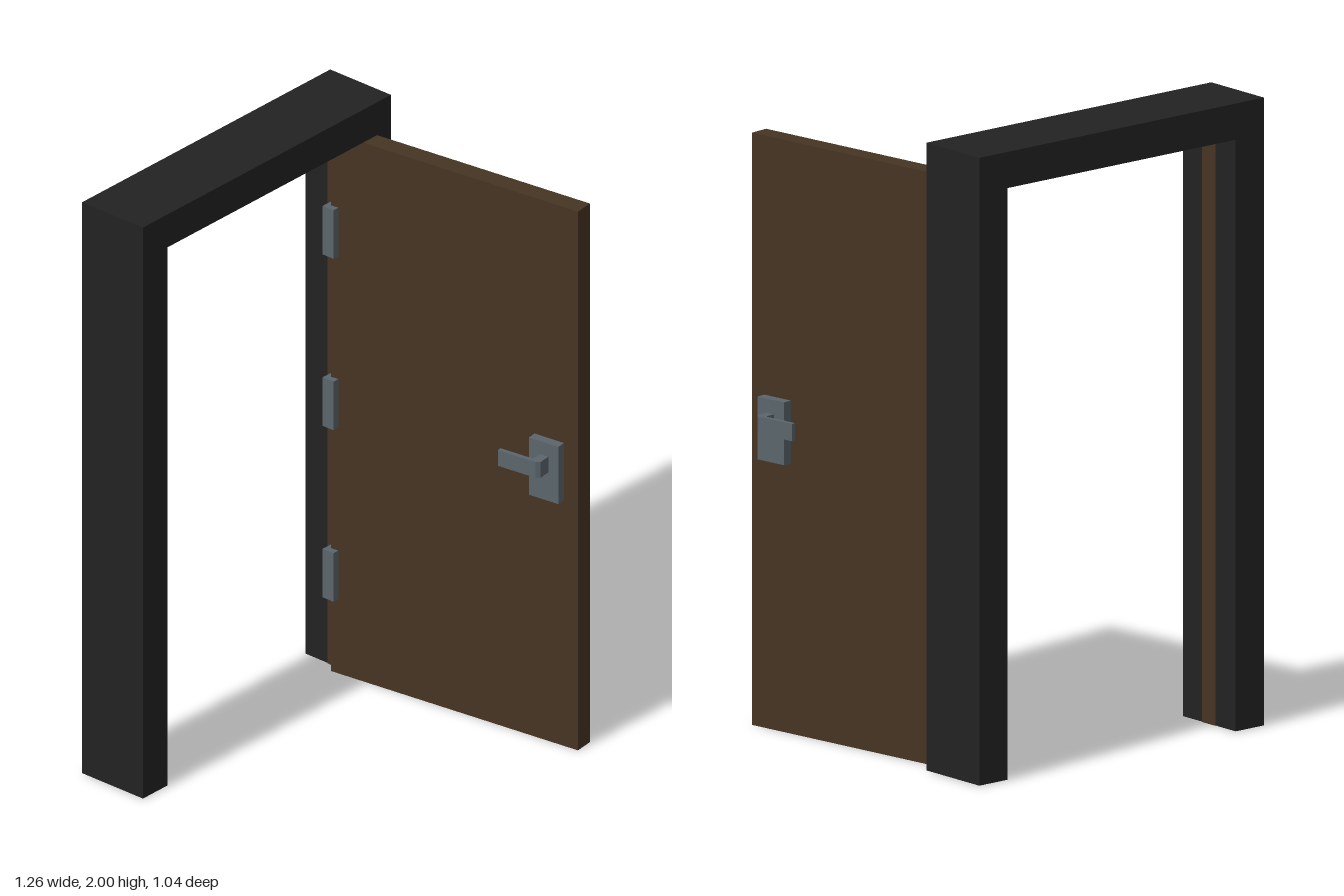
import * as THREE from 'three';

const mat = (name, color) => {
  const m = new THREE.MeshStandardMaterial({ color });
  m.name = name;
  return m;
};

export function createModel() {
  const black = mat('blackFrame', 0x222222);
  const brown = mat('brownWood', 0x463422);
  const steel = mat('greyMetal', 0x5a656b);
  const model = new THREE.Group();
  model.name = 'openDoor';

  // Box given by its lower and upper limits on each axis
  const box = (parent, name, material, [x0, x1], [y0, y1], [z0, z1]) => {
    const mesh = new THREE.Mesh(new THREE.BoxGeometry(x1 - x0, y1 - y0, z1 - z0), material);
    mesh.position.set((x0 + x1) / 2, (y0 + y1) / 2, (z0 + z1) / 2);
    mesh.name = name;
    parent.add(mesh);
  };

  // Frame: two posts and a lintel in one piece
  const L = -0.635, R = 0.52, W = 0.115, TOP = 2, OPEN = 1.885, BASE = 0.002;
  const outline = new THREE.Shape([
    [L, BASE], [L + W, BASE], [L + W, OPEN], [R - W, OPEN],
    [R - W, BASE], [R, BASE], [R, TOP], [L, TOP],
  ].map(([x, y]) => new THREE.Vector2(x, y)));
  const frame = new THREE.Mesh(
    new THREE.ExtrudeGeometry(outline, { depth: 0.25, bevelEnabled: false }), black);
  frame.position.z = -0.525;
  frame.name = 'frame';
  model.add(frame);

  // Thin wooden strip lining the opening
  const t = 0.003, stripZ = [-0.432, -0.368];
  box(model, 'stripLeft', brown, [R - W - t, R - W], [BASE, OPEN], stripZ);
  box(model, 'stripRight', brown, [L + W, L + W + t], [BASE, OPEN], stripZ);
  box(model, 'stripTop', brown, [L + W, R - W], [OPEN - t, OPEN], stripZ);

  // Hinges
  for (const y of [0.345, 0.945, 1.545]) {
    box(model, 'hinge', steel, [0.355, 0.395], [y - 0.085, y + 0.085], [-0.41, -0.366]);
  }

  // Door leaf, swung open about its hinge edge
  const door = new THREE.Group();
  door.name = 'door';
  door.position.set(0.407, 0, -0.397);
  door.rotation.y = 0.127;
  model.add(door);
  box(door, 'leaf', brown, [-0.0325, 0.0325], [0, OPEN], [0, 0.92]);

  // Plate and bent lever on each face of the leaf
  for (const s of [-1, 1]) {
    const plateX = s > 0 ? [0.0325, 0.064] : [-0.064, -0.0325];
    box(door, 'handlePlate', steel, plateX, [0.86, 1.06], [0.758, 0.868]);
    const bend = new THREE.Shape([
      [0.06, 0.80], [0.101, 0.80], [0.101, 0.678], [0.116, 0.678],
      [0.116, 0.818], [0.106, 0.831], [0.06, 0.831],
    ].map(([x, z]) => new THREE.Vector2(s * x, z)));
    const geo = new THREE.ExtrudeGeometry(bend, { depth: 0.055, bevelEnabled: false });
    geo.rotateX(Math.PI / 2);
    const lever = new THREE.Mesh(geo, steel);
    lever.position.y = 1.015;
    lever.name = 'handleLever';
    door.add(lever);
  }
  return model;
}
